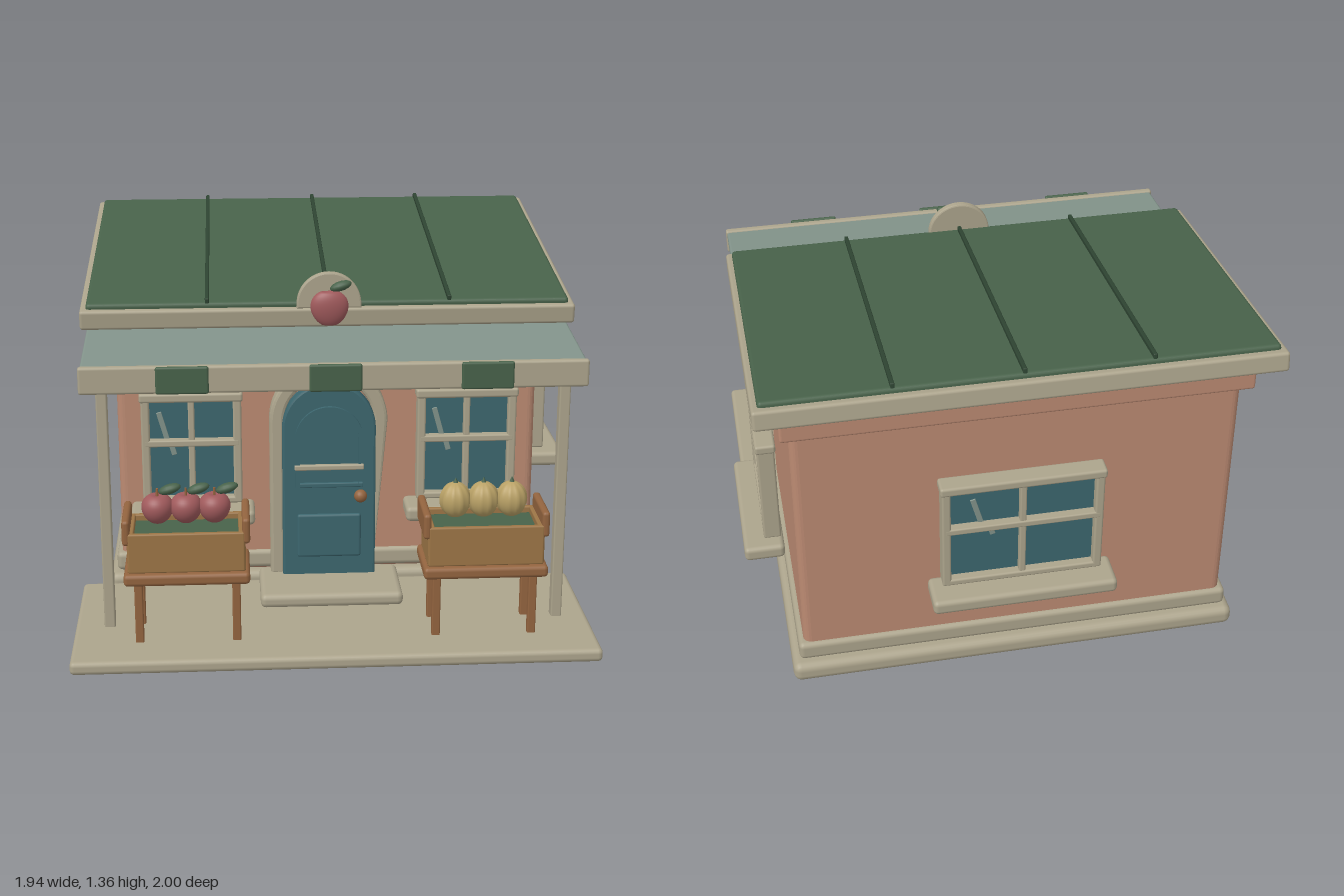
import * as THREE from 'three';
import { RoundedBoxGeometry } from 'three/addons/geometries/RoundedBoxGeometry.js';

const paint = (name, color) => {
  const m = new THREE.MeshStandardMaterial({ color });
  m.name = name;
  return m;
};

export function createModel() {
  const terracotta = paint('terracotta', 0xbb8a72);
  const cream = paint('cream', 0xaca48c);
  const green = paint('green', 0x48624a);
  const darkGreen = paint('darkGreen', 0x2e4432);
  const sage = paint('sage', 0x82938a);
  const teal = paint('teal', 0x3c666e);
  const wood = paint('wood', 0x9c7546);
  const darkWood = paint('darkWood', 0x93643f);
  const red = paint('red', 0xa05a5c);
  const yellow = paint('yellow', 0xb9a166);

  const model = new THREE.Group();
  model.name = 'shop';
  const CX = -0.015; // centre line of the building
  const SLOPE = 0.131; // roof pitch

  const add = (parent, name, geo, mat, x = 0, y = 0, z = 0) => {
    const m = new THREE.Mesh(geo, mat);
    m.name = name;
    m.position.set(x, y, z);
    parent.add(m);
    return m;
  };
  const group = (parent, name, x = 0, y = 0, z = 0) => {
    const g = new THREE.Group();
    g.name = name;
    g.position.set(x, y, z);
    parent.add(g);
    return g;
  };
  // softly bevelled box, centred on its position
  const block = (parent, name, mat, w, h, d, x, y, z, r = 0.008) =>
    add(parent, name, new RoundedBoxGeometry(w, h, d, 2, Math.min(r, w * 0.45, h * 0.45, d * 0.45)), mat, x, y, z);
  // box whose upper (and optionally lower) face follows the roof pitch
  const wedge = (name, mat, w, h, d, y, z, r, both) => {
    const geo = new RoundedBoxGeometry(w, h, d, 3, r);
    const p = geo.attributes.position;
    for (let i = 0; i < p.count; i++) {
      if (both || p.getY(i) > 0) p.setY(i, p.getY(i) - p.getZ(i) * SLOPE);
    }
    geo.computeVertexNormals();
    return add(model, name, geo, mat, CX, y, z);
  };

  // ground slabs and plinth
  block(model, 'porchFloor', cream, 1.9, 0.05, 0.72, -0.02, 0.025, 0.64, 0.018);
  block(model, 'baseSlab', cream, 1.7, 0.08, 1.15, CX, 0.045, -0.285, 0.03);
  block(model, 'skirting', cream, 1.645, 0.075, 1.105, CX, 0.13, -0.28, 0.02);
  block(model, 'doorstep', cream, 0.54, 0.055, 0.3, CX, 0.072, 0.415, 0.022);

  // walls and sloped frieze
  wedge('walls', terracotta, 1.605, 1.06, 1.075, 0.61, -0.2775, 0.03, false);
  wedge('frieze', terracotta, 1.67, 0.12, 1.145, 1.125, -0.2875, 0.01, true);

  // main roof
  const roof = group(model, 'roof', CX, 1.208, -0.286);
  roof.rotation.x = SLOPE;
  block(roof, 'roofTrim', cream, 1.845, 0.075, 1.3, 0, 0, 0, 0.012);
  block(roof, 'roofPanel', green, 1.8, 0.04, 1.25, 0, 0.037, 0.003, 0.014);
  for (const x of [-0.452, 0, 0.45]) block(roof, 'roofRib', darkGreen, 0.015, 0.025, 1.24, x, 0.06, 0.003, 0.004);

  // awning with posts and hanging tabs
  const awning = group(model, 'awning', CX, 1.05, 0.474);
  awning.rotation.x = 0.1;
  block(awning, 'awningPanel', sage, 1.8, 0.04, 0.49, 0, 0, 0, 0.01);
  block(model, 'awningTrim', cream, 1.81, 0.1, 0.03, CX, 1.003, 0.722, 0.01);
  for (const x of [-0.54, 0, 0.54]) block(model, 'awningTab', green, 0.187, 0.1, 0.018, CX + x, 1.005, 0.744, 0.008);
  for (const s of [-1, 1]) block(model, 'post', cream, 0.04, 0.98, 0.045, CX + s * 0.828, 0.53, 0.678, 0.006);

  // arched shapes for the doorway
  const arch = (r, h) => {
    const s = new THREE.Shape();
    s.moveTo(-r, 0);
    s.lineTo(r, 0);
    s.lineTo(r, h);
    s.absarc(0, h, r, 0, Math.PI, false);
    s.lineTo(-r, 0);
    return s;
  };
  const archBand = (R, r, h) => {
    const s = new THREE.Shape();
    s.moveTo(-R, 0);
    s.lineTo(-R, h);
    s.absarc(0, h, R, Math.PI, 0, true);
    s.lineTo(r, 0);
    s.lineTo(r, h);
    s.absarc(0, h, r, 0, Math.PI, false);
    s.lineTo(-r, 0);
    return s;
  };
  const extrude = (shape, depth, bevel = 0) =>
    new THREE.ExtrudeGeometry(shape, {
      depth: depth - 2 * bevel, curveSegments: 20, bevelEnabled: bevel > 0,
      bevelThickness: bevel, bevelSize: bevel, bevelOffset: -bevel, bevelSegments: 2,
    }).translate(0, 0, bevel);

  // door
  const door = group(model, 'door', CX, 0.09, 0);
  add(door, 'doorFrame', extrude(archBand(0.225, 0.17, 0.62), 0.08, 0.012), cream, 0, 0, 0.255);
  add(door, 'doorLeaf', extrude(arch(0.178, 0.6), 0.06, 0.008), teal, 0, 0, 0.3);
  add(door, 'upperMoulding', extrude(archBand(0.13, 0.112, 0.19), 0.015), teal, 0, 0.37, 0.359);
  block(door, 'mouldingBase', teal, 0.26, 0.018, 0.015, 0, 0.377, 0.366, 0.004);
  block(door, 'doorBar', cream, 0.265, 0.022, 0.02, 0, 0.45, 0.37, 0.006);
  block(door, 'lowerPanel', teal, 0.245, 0.175, 0.022, 0, 0.17, 0.36, 0.01);
  add(door, 'knob', new THREE.SphereGeometry(0.025, 16, 12), darkWood, 0.118, 0.34, 0.395);

  // windows, built facing +z with the wall at z = 0 and the sill bottom at y = 0
  const makeWindow = (name, w, h, x, y, z, turn) => {
    const g = group(model, name, x, y, z);
    g.rotation.y = turn;
    const low = 0.065, mid = low + (h - low) * 0.55, zc = 0.07;
    block(g, 'sill', cream, w + 0.08, 0.058, 0.15, 0, 0.029, 0.105, 0.018);
    block(g, 'glass', teal, w - 0.03, h - low - 0.02, 0.03, 0, (h + low) / 2, 0.055, 0.003);
    for (const s of [-1, 1]) block(g, 'jamb', cream, 0.032, h - low, 0.065, s * (w / 2 - 0.022), (h + low) / 2, zc, 0.008);
    block(g, 'head', cream, w, 0.036, 0.075, 0, h - 0.018, zc, 0.01);
    block(g, 'bottomRail', cream, w - 0.02, 0.026, 0.065, 0, low + 0.013, zc, 0.008);
    block(g, 'mullion', cream, 0.024, h - low - 0.02, 0.045, 0, (h + low) / 2, zc + 0.005, 0.006);
    block(g, 'crossbar', cream, w - 0.03, 0.026, 0.05, 0, mid, zc + 0.008, 0.006);
    // slanted glints on the glass
    for (const [dx, dy, len] of [[-0.27, 0.12, 0.13], [-0.19, -0.075, 0.06]]) {
      const glint = block(g, 'glint', sage, 0.02, len, 0.006, dx * w, h * 0.62 + dy * 0.4, 0.072, 0.002);
      glint.rotation.z = 0.27;
    }
  };
  makeWindow('frontWindowRight', 0.39, 0.505, -0.535, 0.335, 0.26, 0);
  makeWindow('frontWindowLeft', 0.39, 0.505, 0.51, 0.335, 0.26, 0);
  makeWindow('sideWindow', 0.47, 0.5, 0.787, 0.385, -0.303, Math.PI / 2);
  makeWindow('backWindow', 0.6, 0.52, CX, 0.385, -0.815, Math.PI);

  // fruit: dimpled apples and ribbed melons from a reshaped sphere
  const fruitGeometry = (r, tall, ribs) => {
    const geo = new THREE.SphereGeometry(r, 40, 20);
    const p = geo.attributes.position;
    for (let i = 0; i < p.count; i++) {
      const x = p.getX(i), y = p.getY(i), z = p.getZ(i), rad = Math.hypot(x, z);
      const k = ribs ? 1 + 0.04 * Math.cos(ribs * Math.atan2(z, x)) : 1 + 0.12 * (y / r);
      const dimple = ribs ? 0 : 0.2 * r * Math.max(0, 1 - rad / (0.45 * r)) * Math.sign(y);
      p.setXYZ(i, x * k, y * tall - dimple, z * k);
    }
    geo.computeVertexNormals();
    return geo;
  };
  const leaf = (parent, x, y, z) => {
    const m = add(parent, 'leaf', new THREE.SphereGeometry(1, 14, 8), green, x, y, z);
    m.scale.set(0.042, 0.018, 0.022);
    m.rotation.z = 0.3;
  };

  // emblem above the awning
  const emblem = group(model, 'emblem', CX, 1.16, 0);
  add(emblem, 'emblemBack', extrude(arch(0.12, 0.015), 0.03, 0.006), cream, 0, 0, 0.33);
  add(emblem, 'emblemApple', fruitGeometry(0.07, 1, 0), red, 0, 0.005, 0.378).scale.z = 0.45;
  leaf(emblem, 0.042, 0.088, 0.375);

  // produce stands
  const makeStand = (name, x, fill) => {
    const g = group(model, name, x, 0, 0.745);
    block(g, 'tableTop', darkWood, 0.45, 0.045, 0.25, 0, 0.3, 0, 0.015);
    for (const sx of [-1, 1]) {
      for (const sz of [-1, 1]) block(g, 'leg', darkWood, 0.03, 0.24, 0.03, sx * 0.175, 0.165, sz * 0.08, 0.005);
      block(g, 'crateEnd', wood, 0.025, 0.15, 0.21, sx * 0.198, 0.398, 0, 0.006);
      block(g, 'crateHandle', darkWood, 0.028, 0.095, 0.22, sx * 0.213, 0.475, 0, 0.012);
    }
    for (const sz of [-1, 1]) block(g, 'crateBoard', wood, 0.415, 0.148, 0.02, 0, 0.398, sz * 0.1, 0.006);
    block(g, 'crateLining', green, 0.38, 0.12, 0.185, 0, 0.39, 0, 0.006);
    for (const dx of [-0.102, 0, 0.102]) fill(g, dx);
  };
  makeStand('appleStand', -0.552, (g, dx) => {
    add(g, 'apple', fruitGeometry(0.057, 1, 0), red, dx, 0.53, 0);
    add(g, 'stem', new THREE.CylinderGeometry(0.004, 0.005, 0.03, 8), darkWood, dx, 0.59, 0);
    leaf(g, dx + 0.045, 0.602, 0);
  });
  makeStand('melonStand', 0.52, (g, dx) => {
    add(g, 'melon', fruitGeometry(0.056, 1.18, 10), yellow, dx, 0.54, 0);
    add(g, 'melonStem', new THREE.ConeGeometry(0.012, 0.025, 8), green, dx, 0.612, 0);
  });

  return model;
}
